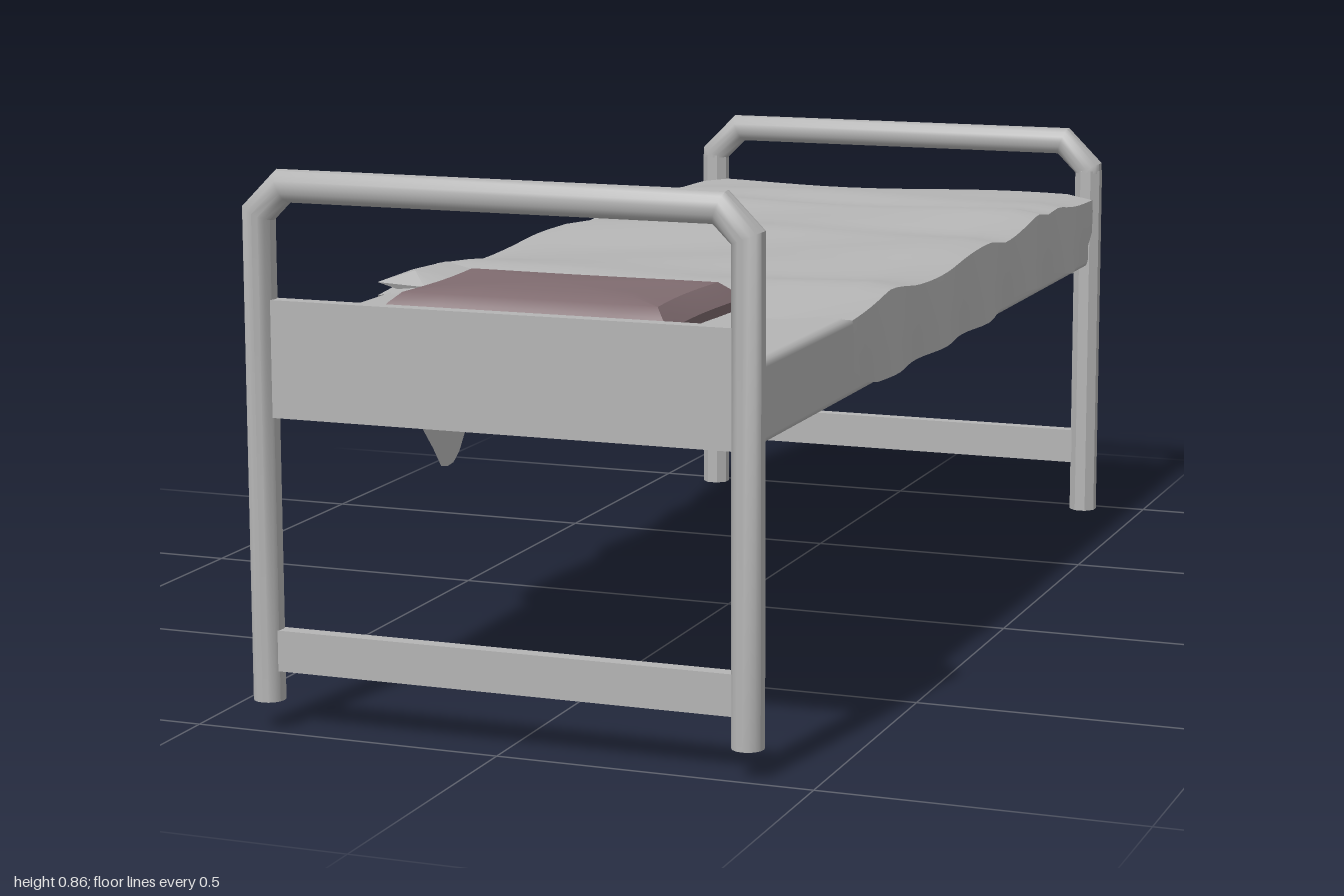
import * as THREE from 'three';
import { toCreasedNormals } from 'three/addons/utils/BufferGeometryUtils.js';
import { RoundedBoxGeometry } from 'three/addons/geometries/RoundedBoxGeometry.js';

const grey = new THREE.MeshStandardMaterial({ color: 0xb4b4b4 });
grey.name = 'light grey';
const cloth = new THREE.MeshStandardMaterial({ color: 0xb5b5b5, side: THREE.DoubleSide });
cloth.name = 'cloth grey';
const mauve = new THREE.MeshStandardMaterial({ color: 0x806c70 });
mauve.name = 'dusty mauve';

function add(parent, name, geometry, material, x = 0, y = 0, z = 0) {
  const mesh = new THREE.Mesh(geometry, material);
  mesh.name = name;
  mesh.position.set(x, y, z);
  parent.add(mesh);
  return mesh;
}

// Skin a list of equally long rows of [x, y, z] points
function skin(rows, closed, crease) {
  const n = rows[0].length, index = [];
  for (let r = 0; r + 1 < rows.length; r++) {
    for (let i = 0; i < (closed ? n : n - 1); i++) {
      const a = r * n + i, b = r * n + (i + 1) % n;
      index.push(a, b, b + n, a, b + n, a + n);
    }
  }
  const g = new THREE.BufferGeometry();
  g.setAttribute('position', new THREE.Float32BufferAttribute(rows.flat(2), 3));
  g.setIndex(index);
  g.computeVertexNormals();
  return toCreasedNormals(g, crease);
}

// Mitred round pipe along a path in the xy plane, with closed ends
function pipe(path, radius, sides) {
  const pts = path.map(p => new THREE.Vector2(...p));
  const last = pts.length - 1;
  const dir = i => pts[i + 1].clone().sub(pts[i]).normalize();
  const rows = pts.map((p, i) => {
    const d0 = dir(Math.max(i - 1, 0)), d1 = dir(Math.min(i, last - 1));
    const t = d0.clone().add(d1).normalize();
    const k = radius / t.dot(d1);
    return Array.from({ length: sides }, (_, s) => {
      const a = s / sides * Math.PI * 2;
      return [p.x - t.y * k * Math.cos(a), p.y + t.x * k * Math.cos(a), radius * Math.sin(a)];
    });
  });
  const cap = p => Array.from({ length: sides }, () => [p.x, p.y, 0]);
  return skin([cap(pts[0]), ...rows, cap(pts[last])], true, 0.7);
}

// Piecewise linear lookup in [position, value] pairs, position falling
function lookup(table, z) {
  for (let i = 0; i + 1 < table.length; i++) {
    const [z0, v0] = table[i], [z1, v1] = table[i + 1];
    if (z <= z0 && z >= z1) return v0 + (v1 - v0) * (z0 - z) / (z0 - z1);
  }
  return z > table[0][0] ? table[0][1] : table[table.length - 1][1];
}

// Blanket: rows run across the bed, from the long hem (-x) to the short one (+x)
function blanketGeometry() {
  const longHem = [[0.6, 0.59], [0.51, 0.49], [0.41, 0.38], [0.32, 0.275], [0.24, 0.275], [0.16, 0.365],
    [0.02, 0.36], [-0.05, 0.3], [-0.22, 0.375], [-0.33, 0.375], [-0.44, 0.325], [-0.65, 0.295],
    [-0.76, 0.38], [-0.85, 0.49], [-0.95, 0.57]];
  const shortHem = [[0.6, 0.55], [0.53, 0.53], [0.42, 0.49], [-0.2, 0.49], [-0.45, 0.51], [-0.6, 0.5],
    [-0.66, 0.515], [-0.78, 0.495], [-0.92, 0.515], [-0.95, 0.56]];
  const ridge = [[0.6, 0.618], [0.42, 0.626], [0.33, 0.634], [0.2, 0.623], [0, 0.623], [-0.24, 0.634],
    [-0.34, 0.626], [-0.44, 0.632], [-0.55, 0.642], [-0.62, 0.632], [-0.7, 0.64], [-0.8, 0.632], [-0.95, 0.622]];
  const headEdge = [[0.4, 0.53], [0.3, 0.59], [0, 0.575], [-0.25, 0.605], [-0.41, 0.55]];
  const rows = [], steps = 46;
  for (let r = 0; r <= steps; r++) {
    const v = r / steps, row = [];
    const at = x => {
      const head = lookup(headEdge, x);
      return head + (-0.945 - head) * v;
    };
    const zl = at(-0.4), zr = at(0.4);
    const wave = 0.006 * Math.sin(zl * 23);
    for (let j = 0; j < 4; j++) {
      const t = j / 4, hem = lookup(longHem, zl);
      row.push([-0.404 + wave * (1 - t), hem + (0.615 - hem) * t, zl]);
    }
    for (let j = 0; j <= 16; j++) {
      const x = -0.4 + j * 0.05, z = at(x);
      const edge = j === 0 || j === 16 ? 0.008 : 0;
      row.push([x, lookup(ridge, z) - edge + 0.004 * Math.sin(x * 9 + z * 14), z]);
    }
    for (let j = 1; j <= 3; j++) {
      const t = j / 3, hem = lookup(shortHem, zr);
      row.push([0.402 + wave * t, 0.615 + (hem - 0.615) * t, zr]);
    }
    rows.push(row);
  }
  // Short tail tucked down over the foot end
  rows.push(rows[steps].map(([x, y]) => [x * 0.99, Math.min(y, 0.575 + 0.015 * Math.sin(x * 8)), -0.957]));
  return skin(rows, false, 0.6).rotateY(0);
}

// Pillow: stacked rings with pinched corners
function pillowGeometry() {
  const levels = [[0.613, 0, 0], [0.613, 0.205, 0.13], [0.622, 0.228, 0.15], [0.64, 0.236, 0.158],
    [0.656, 0.222, 0.146], [0.669, 0.208, 0.128], [0.676, 0.15, 0.085], [0.678, 0, 0]];
  const corners = [[-1, -1], [-1, 1], [1, 1], [1, -1]];
  const rows = levels.map(([y, hx, hz]) => {
    const ring = [];
    corners.forEach(([x0, z0], c) => {
      const [x1, z1] = corners[(c + 1) % 4];
      for (let i = 0; i < 6; i++) {
        const t = i / 6, pinch = 1 - 0.035 * Math.sin(t * Math.PI);
        const x = x0 + (x1 - x0) * t, z = z0 + (z1 - z0) * t;
        ring.push([x * hx * (z0 !== z1 ? pinch : 1), y, z * hz * (x0 !== x1 ? pinch : 1)]);
      }
    });
    return ring;
  });
  return skin(rows, true, 0.5);
}

export function createModel() {
  const bed = new THREE.Group();
  bed.name = 'bed';

  // Head frame: one bent pipe, panel and lower bar
  const head = new THREE.Group();
  head.name = 'headFrame';
  head.position.z = 0.975;
  bed.add(head);
  const headHalf = [[0.39, 0.045], [0.39, 0.797], [0.348, 0.839]];
  const mirrored = half => [...half.map(([x, y]) => [-x, y]), ...[...half].reverse()];
  add(head, 'headPipe', pipe(mirrored(headHalf), 0.025, 16), grey);
  add(head, 'headPanel', new THREE.BoxGeometry(0.75, 0.18, 0.024), grey, 0, 0.577, 0);
  add(head, 'headLowerBar', new THREE.BoxGeometry(0.75, 0.064, 0.024), grey, 0, 0.125, 0);

  // Foot frame: faceted legs, bent top rail, panel and lower bar
  const foot = new THREE.Group();
  foot.name = 'footFrame';
  foot.position.z = -0.972;
  bed.add(foot);
  for (const side of [-1, 1]) {
    const leg = new THREE.CylinderGeometry(0.026, 0.026, 0.67, 8).rotateY(Math.PI / 8);
    add(foot, side > 0 ? 'leftFootLeg' : 'rightFootLeg', toCreasedNormals(leg, 0.5), grey, side * 0.385, 0.335, 0);
  }
  add(foot, 'footRail', pipe(mirrored([[0.385, 0.665], [0.385, 0.674], [0.334, 0.725]]), 0.025, 16), grey);
  add(foot, 'footPanel', new THREE.BoxGeometry(0.75, 0.085, 0.024), grey, 0, 0.53, 0);
  add(foot, 'footLowerBar', new THREE.BoxGeometry(0.75, 0.064, 0.024), grey, 0, 0.125, 0);

  // Mattress and bedding
  add(bed, 'mattress', new RoundedBoxGeometry(0.79, 0.127, 1.91, 1, 0.012), grey, 0, 0.5485, 0.005);
  add(bed, 'blanket', blanketGeometry(), cloth);
  add(bed, 'pillow', pillowGeometry(), mauve, -0.003, 0, 0.73);

  // Blanket corner turned back on itself
  const fold = skin([
    [[-0.4, 0.632, 0.42], [-0.34, 0.648, 0.42], [-0.28, 0.636, 0.425]],
    [[-0.4, 0.63, 0.555], [-0.34, 0.65, 0.54], [-0.265, 0.635, 0.52]],
    [[-0.36, 0.622, 0.565], [-0.3, 0.632, 0.59], [-0.25, 0.62, 0.61]],
  ], false, 0.2);
  add(bed, 'foldedCorner', fold, cloth);
  return bed;
}
